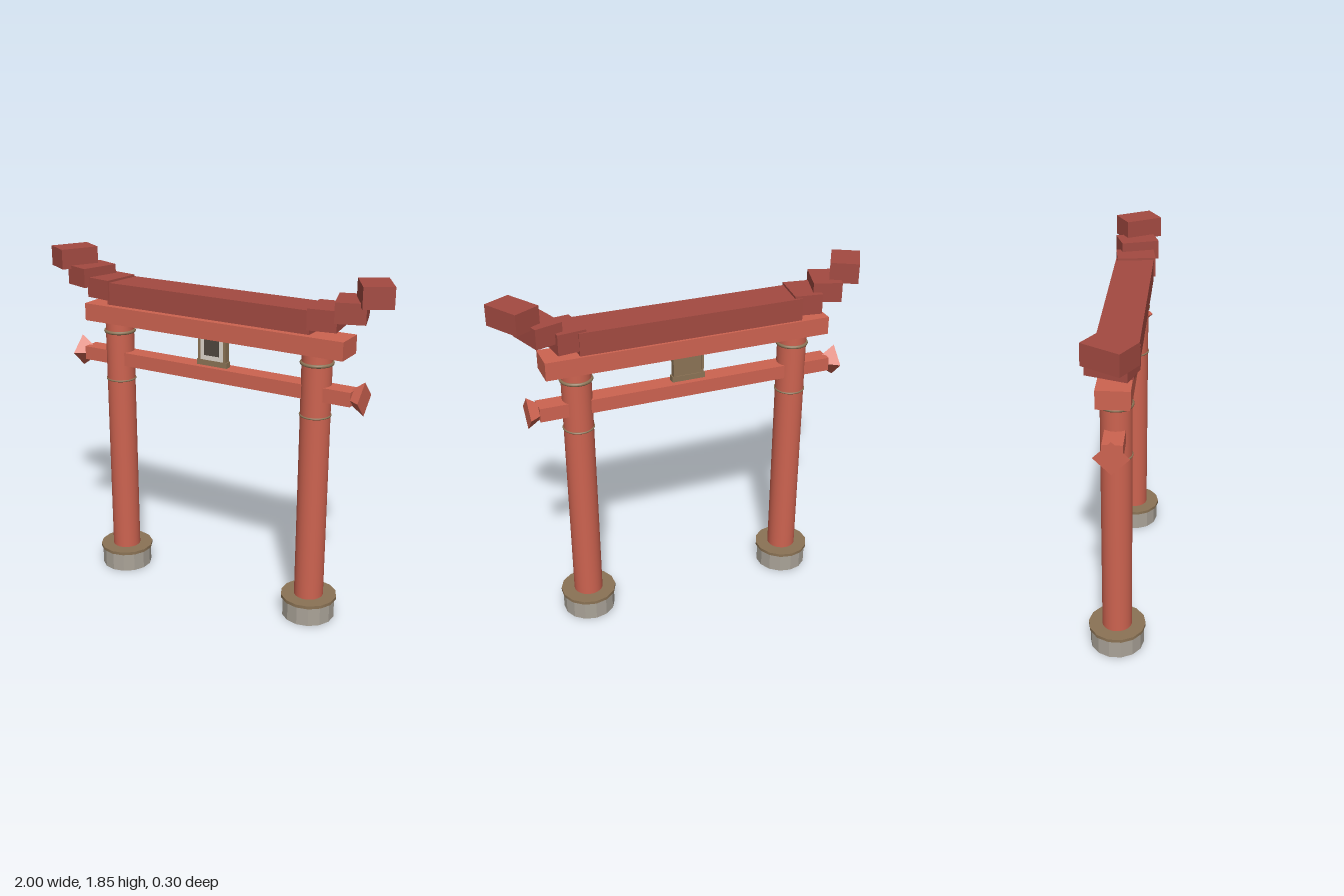
import * as THREE from 'three';

const mat = (color, flatShading = false) => new THREE.MeshStandardMaterial({ color, flatShading });
const red = mat(0xcd6350);
const redFlat = mat(0xcd6350, true);
const darkRed = mat(0xa34a41);
const stone = mat(0xaaa398, true);
const bronze = mat(0x8b7355);
const ivory = mat(0xddd6cc);
const slate = mat(0x50483f);

function add(parent, name, geometry, material, x = 0, y = 0, z = 0) {
  const mesh = new THREE.Mesh(geometry, material);
  mesh.name = name;
  mesh.position.set(x, y, z);
  parent.add(mesh);
  return mesh;
}

// Box given by its bottom and top heights
function slab(parent, name, material, width, y0, y1, depth, x = 0, z = 0) {
  return add(parent, name, new THREE.BoxGeometry(width, y1 - y0, depth), material, x, (y0 + y1) / 2, z);
}

// Cylinder given by its bottom and top heights
function drum(parent, name, material, rTop, rBottom, y0, y1, sides) {
  return add(parent, name, new THREE.CylinderGeometry(rTop, rBottom, y1 - y0, sides), material, 0, (y0 + y1) / 2, 0);
}

function createPillar(side) {
  const pillar = new THREE.Group();
  pillar.name = side > 0 ? 'leftPillar' : 'rightPillar';
  pillar.position.x = side * 0.595;
  drum(pillar, 'stoneBase', stone, 0.141, 0.141, 0, 0.106, 14);
  drum(pillar, 'baseCollar', bronze, 0.15, 0.15, 0.106, 0.123, 14);
  drum(pillar, 'shaft', red, 0.077, 0.078, 0.12, 1.48, 28);
  // Thin metal bands round the shaft
  for (const [y, tube] of [[1.144, 0.005], [1.416, 0.009]]) {
    const band = add(pillar, 'band', new THREE.TorusGeometry(0.078, tube, 8, 28), bronze, 0, y, 0);
    band.rotation.x = Math.PI / 2;
  }
  return pillar;
}

// Stepped blocks that rise and turn towards the tip of the roof beam
function createRoofEnd(side) {
  const end = new THREE.Group();
  end.name = side > 0 ? 'leftRoofEnd' : 'rightRoofEnd';
  const steps = [
    [0.643, 1.604, 1.711, 8],
    [0.769, 1.657, 1.76, 18],
    [0.883, 1.743, 1.85, 30],
  ];
  for (const [x, y0, y1, angle] of steps) {
    const block = slab(end, 'roofStep', darkRed, 0.15, y0, y1, 0.208, side * x);
    block.rotation.y = side * THREE.MathUtils.degToRad(angle);
  }
  return end;
}

// Four-sided flared cap at the tip of the tie beam
function createCap(side) {
  const geometry = new THREE.CylinderGeometry(0.087, 0.04, 0.068, 4);
  geometry.rotateZ(-side * Math.PI / 2);
  const cap = new THREE.Mesh(geometry, redFlat);
  cap.name = side > 0 ? 'leftTieCap' : 'rightTieCap';
  cap.position.set(side * 0.82, 1.267, 0);
  return cap;
}

function createPlaque() {
  const plaque = new THREE.Group();
  plaque.name = 'plaque';
  slab(plaque, 'plaqueBoard', bronze, 0.166, 1.31, 1.475, 0.026);
  slab(plaque, 'plaqueLedge', bronze, 0.18, 1.306, 1.336, 0.036);
  slab(plaque, 'plaquePanel', ivory, 0.138, 1.336, 1.475, 0.006, 0, 0.014);
  slab(plaque, 'plaqueInset', slate, 0.088, 1.362, 1.475, 0.006, 0, 0.017);
  for (const side of [1, -1]) {
    slab(plaque, 'plaqueRail', bronze, 0.014, 1.31, 1.475, 0.036, side * 0.076);
  }
  return plaque;
}

export function createModel() {
  const gate = new THREE.Group();
  gate.name = 'gate';

  // Horizontal beams
  slab(gate, 'tieBeam', red, 1.6, 1.232, 1.306, 0.1);
  slab(gate, 'lintel', red, 1.53, 1.467, 1.562, 0.163);
  slab(gate, 'roofBeam', darkRed, 1.19, 1.58, 1.699, 0.208);

  for (const side of [1, -1]) {
    gate.add(createPillar(side), createRoofEnd(side), createCap(side));
  }
  gate.add(createPlaque());
  return gate;
}
